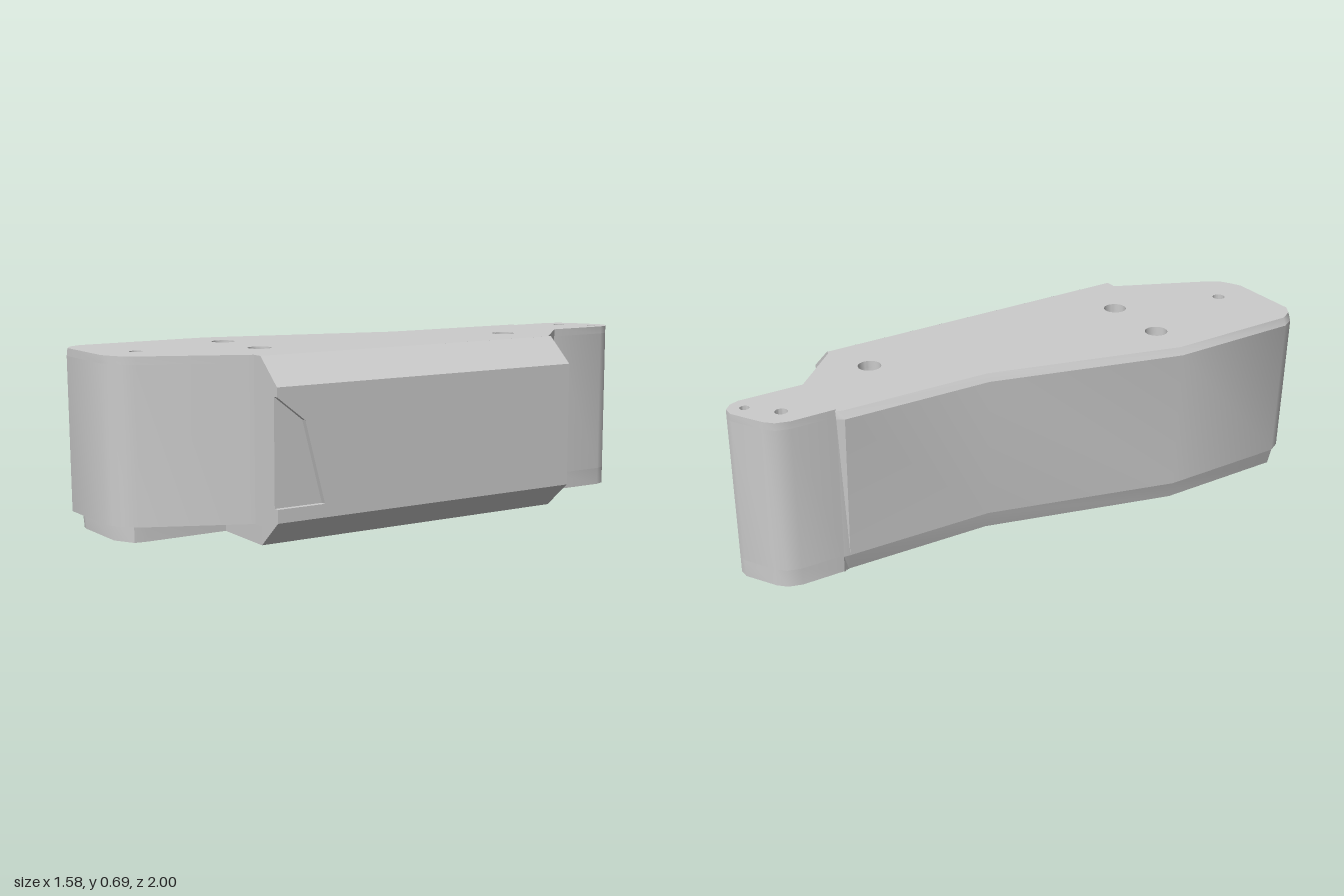
import * as THREE from 'three';
import { toCreasedNormals } from 'three/addons/utils/BufferGeometryUtils.js';

const material = new THREE.MeshStandardMaterial({ color: 0xcccccc });

// Plan points [x, z, lean]; lean says how far a point follows the tapered left wall
const tail = [
  [0.687, -0.393], [0.675, -0.40], [0.6, -0.68], [0.73, -0.9], [0.738, -0.94], [0.725, -0.98], [0.69, -1],
  [0.55, -1], [0.505, -0.988], [0.465, -0.95], [0.375, -0.795],
];
const wall = [
  [0.365, -0.812, 0.3], [0.335, -0.8, 1], [0.025, -0.285, 1], [-0.53, 0.275, 1], [-0.79, 0.74, 1], [-0.79, 0.8, 1], [-0.76, 0.85, 0.6],
];
const upperNose = [[-0.5, 0.995], [-0.46, 1], [-0.41, 1], [-0.36, 0.98], [-0.02, 0.74], [0.02, 0.762]];
const lowerNose = [[-0.5, 0.94], [-0.41, 0.94], [-0.38, 0.9], [-0.22, 0.62], [0.02, 0.762]];
const throughHoles = [
  [0.54, -0.9, 0.024], [0.675, -0.937, 0.018], [0.47, -0.425, 0.045],
  [-0.37, 0.38, 0.045], [-0.46, 0.835, 0.025],
];
const blindHole = [-0.125, 0.52, 0.045];

function addMesh(parent, name, geometry) {
  const mesh = new THREE.Mesh(toCreasedNormals(geometry, 0.55), material);
  mesh.name = name;
  parent.add(mesh);
}

// Horizontal layer whose left wall is set in by a different amount at bottom and top
function layer(points, holes, y0, y1, inset0, inset1) {
  const shape = new THREE.Shape(points.map(([x, z]) => new THREE.Vector2(x, -z)));
  for (const [x, z, r] of holes) {
    shape.holes.push(new THREE.Path().absarc(x, -z, r, 0, Math.PI * 2, true));
  }
  const geometry = new THREE.ExtrudeGeometry(shape, { depth: y1 - y0, bevelEnabled: false, curveSegments: 16 });
  geometry.rotateX(-Math.PI / 2).translate(0, y0, 0);
  const pos = geometry.attributes.position;
  for (let i = 0; i < pos.count; i++) {
    const x = pos.getX(i), z = pos.getZ(i);
    const point = points.find((p) => p[2] && Math.hypot(p[0] - x, p[1] - z) < 1e-4);
    if (!point) continue;
    const d = point[2] * (pos.getY(i) - y0 < (y1 - y0) / 2 ? inset0 : inset1);
    pos.setX(i, x + 0.866 * d);
    pos.setZ(i, z + 0.5 * d);
  }
  return geometry;
}

// Upright slab of the side block; its top and bottom edges flare inwards as chamfers
function sideSlab(points, z0, z1) {
  const shape = new THREE.Shape(points.map(([x, y]) => new THREE.Vector2(x, y)));
  const geometry = new THREE.ExtrudeGeometry(shape, { depth: z1 - z0, bevelEnabled: false });
  geometry.translate(0, 0, z0);
  const pos = geometry.attributes.position;
  for (let i = 0; i < pos.count; i++) {
    const y = pos.getY(i), flare = (0.115 - pos.getZ(i)) * 0.87;
    if (y > 0.58) pos.setY(i, y + flare);
    if (y < 0.11) pos.setY(i, y - flare);
  }
  return geometry;
}

export function createModel() {
  const model = new THREE.Group();
  model.name = 'angledHousing';

  // Main body: stepped foot, tall middle and chamfered lid
  const upper = [...tail, ...wall, ...upperNose];
  const lower = [...tail, ...wall.slice(0, -2), [-0.765, 0.785, 0.8], [-0.72, 0.82, 0.3], ...lowerNose];
  const topHoles = [...throughHoles, blindHole];
  addMesh(model, 'foot', layer(lower, throughHoles, 0, 0.07, 0.045, 0.025));
  addMesh(model, 'body', layer(upper, topHoles, 0.07, 0.655, 0.025, 0));
  addMesh(model, 'lid', layer(upper, topHoles, 0.655, 0.685, 0, 0.015));

  // Chamfered block along the long side, with a shallow recess at its front end
  const block = new THREE.Group();
  block.name = 'sideBlock';
  block.position.set(0.02, 0, 0.762);
  block.rotation.y = Math.PI / 3;
  const length = 1.334, low = 0.1, high = 0.585, floor = 0.093;
  addMesh(block, 'blockCore', sideSlab([[0, low], [length, low], [length, high], [0, high]], 0, floor));
  addMesh(block, 'recessedFace', sideSlab([
    [0, low], [length, low], [length, high], [0, high],
    [0, 0.55], [0.115, 0.46], [0.196, 0.15], [0, 0.15],
  ], floor, 0.115));
  model.add(block);

  return model;
}
